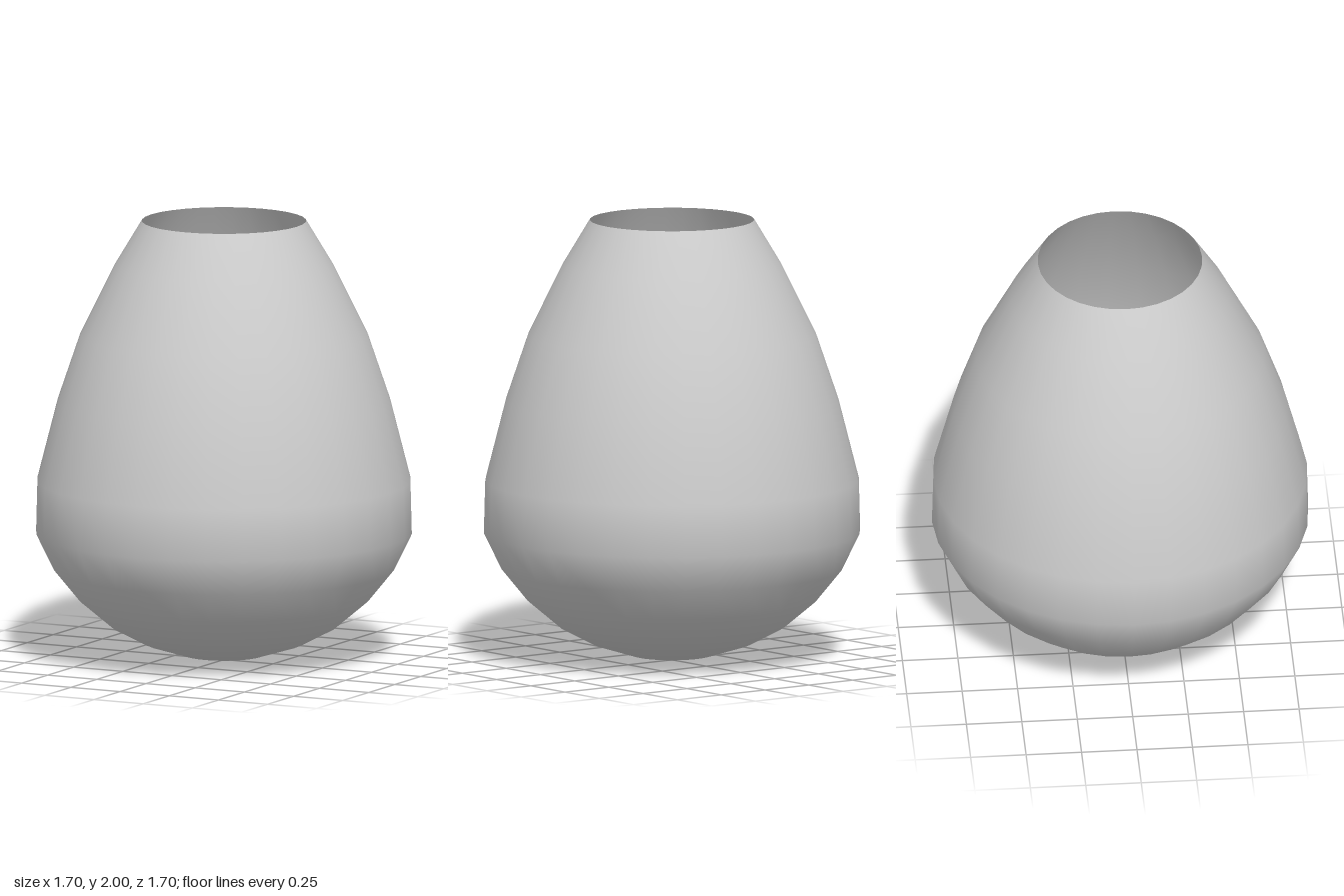
import * as THREE from 'three';

export function createModel() {
  const group = new THREE.Group();
  group.name = 'vase';

  // Profile from the rounded bottom up to the open rim: [radius, height]
  const profile = [
    [0, 0], [0.18, 0.024], [0.36, 0.08], [0.513, 0.16], [0.65, 0.275],
    [0.768, 0.42], [0.848, 0.585], [0.842, 0.82], [0.75, 1.18],
    [0.648, 1.48], [0.49, 1.8], [0.37, 2],
  ].map(([r, y]) => new THREE.Vector2(r, y));

  // Thin open shell, visible from inside through the mouth
  const body = new THREE.Mesh(
    new THREE.LatheGeometry(profile, 32),
    new THREE.MeshStandardMaterial({ color: 0xcccccc, side: THREE.DoubleSide })
  );
  body.name = 'vaseBody';
  group.add(body);

  return group;
}
